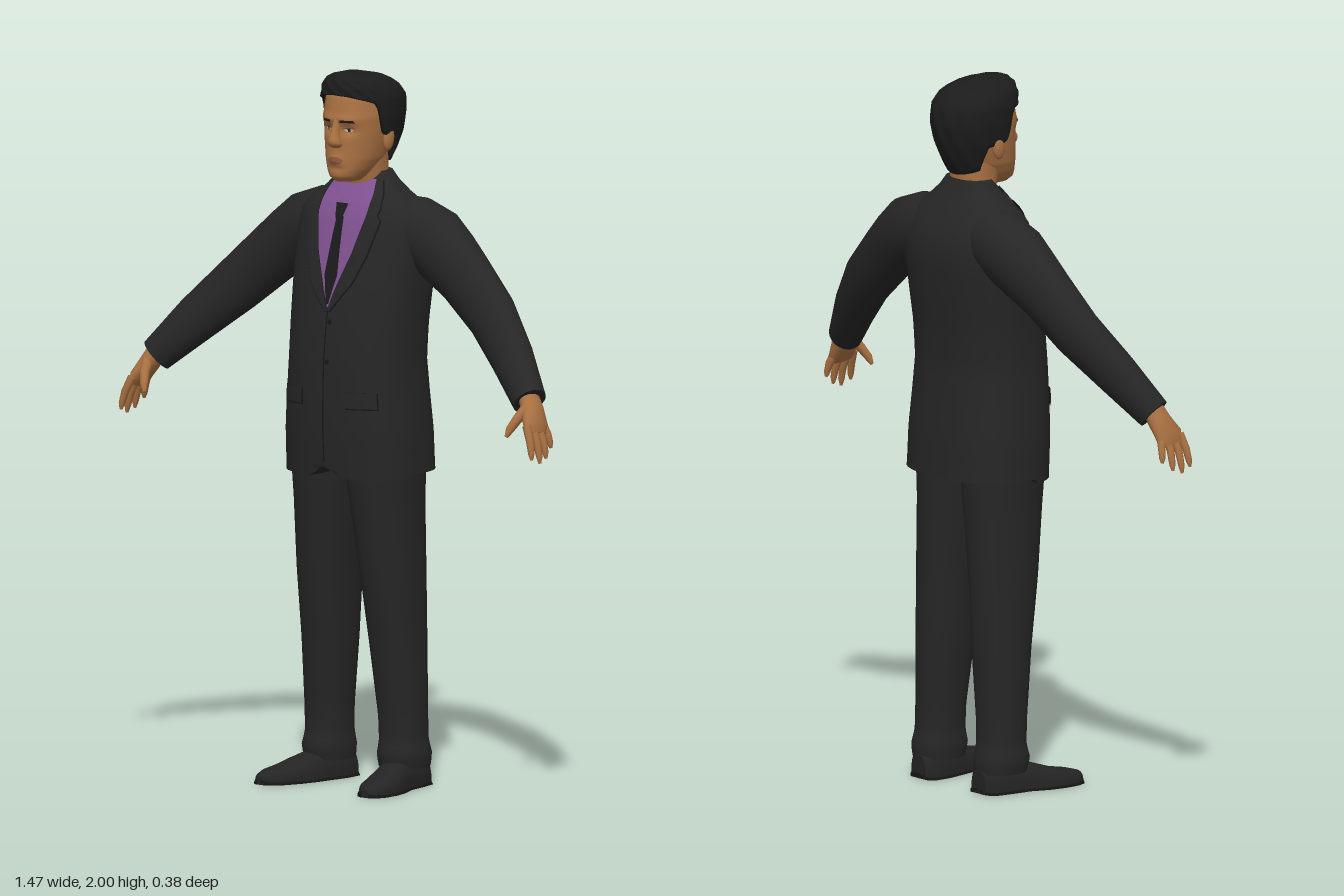
import * as THREE from 'three';

const mat = (name, color, side = THREE.FrontSide) => {
  const m = new THREE.MeshStandardMaterial({ color, side });
  m.name = name;
  return m;
};
const D = THREE.DoubleSide;
const SUIT = mat('suit cloth', 0x262626, D), SEAM = mat('seam', 0x151515, D), HAIR = mat('hair', 0x1c1c1c, D);
const SKIN = mat('skin', 0xa97142), LIP = mat('lips', 0x8c543a, D), SHIRT = mat('shirt', 0x805291, D);
const TIE = mat('tie', 0x1b1b1d, D), SHOE = mat('shoe leather', 0x242424), EYE = mat('eye white', 0xc4b2a0, D);

// Linear look-up in a table whose first column is the key
function sample(table, k) {
  if (k <= table[0][0]) return table[0];
  for (let i = 1; i < table.length; i++) {
    const p = table[i - 1], q = table[i];
    if (k <= q[0]) return p.map((v, c) => THREE.MathUtils.lerp(v, q[c], (k - p[0]) / (q[0] - p[0])));
  }
  return table[table.length - 1];
}
const pw = (v, e) => Math.sign(v) * Math.abs(v) ** e;

// Point on a section [y, halfWidth, zBack, zFront, xCentre]; angle 0 faces front
function around([y, a, zb, zf, xc = 0], t, n) {
  return new THREE.Vector3(xc + a * pw(Math.sin(t), 2 / n), y, (zb + zf) / 2 + ((zf - zb) / 2) * pw(Math.cos(t), 2 / n));
}

// Closed skin over rings of points, ends capped, faces turned outward
function loft(name, rings, material) {
  const n = rings[0].length, pts = rings.flat(), idx = [];
  for (let i = 0; i < rings.length - 1; i++)
    for (let j = 0; j < n; j++) {
      const a = i * n + j, b = i * n + ((j + 1) % n);
      idx.push(a, b, a + n, b, b + n, a + n);
    }
  for (const [ring, end] of [[rings[0], false], [rings[rings.length - 1], true]]) {
    const base = pts.length, c = new THREE.Vector3();
    ring.forEach(p => c.addScaledVector(p, 1 / n));
    pts.push(...ring, c);
    for (let j = 0; j < n; j++) {
      const k = (j + 1) % n;
      idx.push(base + n, base + (end ? j : k), base + (end ? k : j));
    }
  }
  let volume = 0;
  for (let i = 0; i < idx.length; i += 3)
    volume += pts[idx[i]].dot(pts[idx[i + 1]].clone().cross(pts[idx[i + 2]]));
  if (volume < 0) idx.reverse();
  const g = new THREE.BufferGeometry().setFromPoints(pts);
  g.setIndex(idx);
  g.computeVertexNormals();
  const m = new THREE.Mesh(g, material);
  m.name = name;
  return m;
}

// Stack of horizontal sections, with an optional rule that moves points
function body(name, table, material, { n = 2.3, seg = 40, step = 0.03, rule } = {}) {
  const rings = [], y0 = table[0][0], y1 = table[table.length - 1][0], rows = Math.ceil((y1 - y0) / step);
  for (let i = 0; i <= rows; i++) {
    const s = sample(table, y0 + ((y1 - y0) * i) / rows);
    rings.push(Array.from({ length: seg }, (_, j) => {
      const p = around(s, (j / seg) * Math.PI * 2, n);
      if (rule) rule(p);
      return p;
    }));
  }
  return loft(name, rings, material);
}

// Limb along points [x, y, z, thickness, width]; s = 1 left, -1 right
function limb(name, path, material, s, seg = 20) {
  const c = path.map(p => new THREE.Vector3(p[0] * s, p[1], p[2]));
  const rings = c.map((p, i) => {
    const t = c[Math.min(i + 1, c.length - 1)].clone().sub(c[Math.max(i - 1, 0)]).normalize();
    const w = new THREE.Vector3(0, 0, 1).addScaledVector(t, -t.z).normalize(), u = t.clone().cross(w);
    return Array.from({ length: seg }, (_, j) => {
      const a = (j / seg) * Math.PI * 2;
      return p.clone().addScaledVector(u, path[i][3] * Math.cos(a)).addScaledVector(w, path[i][4] * Math.sin(a));
    });
  });
  return loft(name, rings, material);
}

// Thin sheet lying on a front surface; rows are [y, xInner, xOuter]
function patch(name, rows, surface, lift, material, s = 1) {
  const g = new THREE.PlaneGeometry(1, 1, 10, 24), p = g.attributes.position;
  const y0 = rows[0][0], y1 = rows[rows.length - 1][0];
  for (let i = 0; i < p.count; i++) {
    const [y, a, b] = sample(rows, y0 + (y1 - y0) * (p.getY(i) + 0.5));
    const x = s * THREE.MathUtils.lerp(a, b, p.getX(i) + 0.5);
    p.setXYZ(i, x, y, surface(x, y) + lift);
  }
  if (s < 0) g.index.array.reverse();
  g.computeVertexNormals();
  const m = new THREE.Mesh(g, material);
  m.name = name;
  return m;
}
const frontOf = (table, n) => (x, y) => {
  const [, a, zb, zf] = sample(table, y);
  return (zb + zf) / 2 + ((zf - zb) / 2) * (1 - Math.min(Math.abs(x / a), 0.97) ** n) ** (1 / n);
};

const JACKET = [
  [0.875, 0.213, -0.185, 0.135], [1, 0.211, -0.18, 0.142], [1.1, 0.203, -0.171, 0.142], [1.2, 0.196, -0.163, 0.139],
  [1.3, 0.198, -0.168, 0.128], [1.4, 0.204, -0.179, 0.11], [1.5, 0.21, -0.187, 0.086], [1.56, 0.208, -0.181, 0.07],
  [1.6, 0.2, -0.165, 0.058], [1.635, 0.175, -0.148, 0.042], [1.67, 0.12, -0.126, 0.02], [1.7, 0.088, -0.11, 0], [1.72, 0.074, -0.102, -0.012]];
const HEAD = [
  [1.697, 0.03, -0.02, 0.075], [1.71, 0.046, -0.04, 0.09], [1.73, 0.06, -0.07, 0.092], [1.76, 0.074, -0.095, 0.089],
  [1.8, 0.083, -0.115, 0.087], [1.84, 0.09, -0.135, 0.087], [1.88, 0.094, -0.14, 0.087], [1.93, 0.09, -0.135, 0.077],
  [1.96, 0.08, -0.12, 0.062], [1.98, 0.05, -0.08, 0.045]];
const HAIRSHAPE = [
  [1.73, 0.072, -0.108, 0.06], [1.78, 0.088, -0.137, 0.08], [1.83, 0.102, -0.156, 0.088], [1.88, 0.11, -0.165, 0.09],
  [1.93, 0.11, -0.159, 0.09], [1.96, 0.1, -0.135, 0.09], [1.982, 0.078, -0.095, 0.084], [1.994, 0.05, -0.05, 0.072], [2, 0.02, -0.01, 0.05]];
const HAIRLINE = [[-1, 1.735], [-0.5, 1.75], [-0.25, 1.82], [0.1, 1.82], [0.3, 1.84], [0.45, 1.915], [1, 1.94]];
const TROUSER = [
  [0.055, 0.066, -0.128, 0.02, 0.132], [0.09, 0.071, -0.132, 0.03, 0.133], [0.13, 0.064, -0.122, 0.02, 0.131],
  [0.2, 0.065, -0.12, 0.022, 0.13], [0.4, 0.073, -0.126, 0.045, 0.12], [0.6, 0.08, -0.13, 0.075, 0.112],
  [0.8, 0.091, -0.135, 0.098, 0.099], [0.86, 0.096, -0.138, 0.105, 0.096], [0.98, 0.1, -0.14, 0.11, 0.095]];
const SLEEVE = [
  [0.09, 1.575, -0.075, 0.08, 0.075], [0.15, 1.56, -0.077, 0.095, 0.088], [0.225, 1.53, -0.075, 0.1, 0.085], [0.28, 1.49, -0.07, 0.094, 0.077],
  [0.34, 1.445, -0.062, 0.086, 0.068], [0.45, 1.35, -0.043, 0.079, 0.058], [0.56, 1.247, 0.005, 0.067, 0.053], [0.66, 1.143, 0.055, 0.05, 0.046]];
// Shoe sections along its length: [z, xCentre, halfWidth, height]
const SHOEFORM = [
  [-0.13, 0.128, 0.03, 0.065], [-0.115, 0.129, 0.05, 0.08], [-0.06, 0.133, 0.056, 0.085], [0, 0.142, 0.054, 0.082], [0.05, 0.156, 0.06, 0.066],
  [0.1, 0.168, 0.058, 0.05], [0.15, 0.178, 0.047, 0.042], [0.178, 0.183, 0.031, 0.034], [0.19, 0.185, 0.012, 0.022]];

// Eye sockets, brow ridge and mouth hollows
const sculpt = (x, y) => {
  const bump = (cx, cy, rx, ry) => Math.exp(-(((Math.abs(x) - cx) / rx) ** 2) - ((y - cy) / ry) ** 2);
  return -0.01 * bump(0.035, 1.842, 0.022, 0.014) + 0.005 * bump(0.03, 1.872, 0.035, 0.01)
    + 0.006 * bump(0, 1.758, 0.022, 0.014) - 0.004 * bump(0, 1.735, 0.03, 0.008);
};

function makeShoe(s) {
  const g = new THREE.Group();
  g.name = s > 0 ? 'leftShoe' : 'rightShoe';
  const shape = (name, wide, height, m) => loft(name, SHOEFORM.map(([z, xc, a, h]) =>
    Array.from({ length: 24 }, (_, j) => {
      const t = (j / 24) * Math.PI * 2;
      return new THREE.Vector3(s * (xc + (a + wide) * pw(Math.cos(t), 0.7)), Math.max(0, pw(Math.sin(t), 0.8)) * (height || h), z);
    })), m);
  g.add(shape('upper', 0, 0, SHOE), shape('sole', 0.004, 0.014, SEAM));
  return g;
}

function makeHand(s) {
  const g = new THREE.Group();
  g.name = s > 0 ? 'leftHand' : 'rightHand';
  g.add(limb('palm', [[0.65, 1.165, 0.053, 0.028, 0.03], [0.675, 1.125, 0.062, 0.027, 0.036],
    [0.698, 1.085, 0.077, 0.021, 0.046], [0.708, 1.06, 0.081, 0.012, 0.04]], SKIN, s));
  [0.7, 0.95, 1.05, 0.92].forEach((l, i) => {
    const z = 0.047 + i * 0.023, dz = (i - 1.4) * 0.005;
    g.add(limb('finger', [[0.698, 1.085, z, 0.012, 0.012], [0.698 + 0.02 * l, 1.085 - 0.045 * l, z + dz, 0.011, 0.011],
      [0.698 + 0.029 * l, 1.085 - 0.082 * l, z + dz * 1.5, 0.009, 0.009], [0.698 + 0.031 * l, 1.085 - 0.1 * l, z + dz * 1.7, 0.004, 0.004]], SKIN, s, 10));
  });
  g.add(limb('thumb', [[0.672, 1.13, 0.08, 0.016, 0.018], [0.66, 1.1, 0.108, 0.014, 0.014],
    [0.647, 1.07, 0.127, 0.012, 0.011], [0.64, 1.05, 0.134, 0.005, 0.005]], SKIN, s, 10));
  return g;
}

function makeHead() {
  const g = new THREE.Group();
  g.name = 'head';
  const base = frontOf(HEAD, 2.2), face = (x, y) => base(x, y) + sculpt(x, y);
  g.add(body('face', HEAD, SKIN, { n: 2.2, seg: 64, step: 0.006, rule: p => { if (p.z > 0) p.z += sculpt(p.x, p.y); } }));
  g.add(body('neck', [[1.6, 0.06, -0.1, -0.01], [1.66, 0.066, -0.1, 0.008], [1.72, 0.067, -0.1, 0.022], [1.77, 0.07, -0.1, 0.035]], SKIN));
  g.add(body('nose', [[1.793, 0.012, 0.07, 0.096], [1.8, 0.021, 0.07, 0.109], [1.812, 0.019, 0.07, 0.116],
    [1.835, 0.012, 0.07, 0.105], [1.875, 0.009, 0.07, 0.09]], SKIN, { n: 2, seg: 20, step: 0.008 }));
  g.add(patch('upperLip', [[1.758, -0.026, 0.026], [1.764, -0.02, 0.02], [1.768, -0.008, 0.008]], face, 0.002, LIP));
  g.add(patch('lowerLip', [[1.747, -0.012, 0.012], [1.751, -0.02, 0.02], [1.757, -0.026, 0.026]], face, 0.002, LIP));
  for (const s of [1, -1]) {
    g.add(patch('eye', [[1.839, 0.03, 0.04], [1.844, 0.021, 0.05], [1.848, 0.028, 0.043]], face, 0.001, EYE, s));
    g.add(patch('iris', [[1.839, 0.032, 0.039], [1.848, 0.032, 0.039]], face, 0.002, HAIR, s));
    g.add(patch('eyelid', [[1.847, 0.02, 0.052], [1.85, 0.026, 0.046]], face, 0.002, LIP, s));
    g.add(patch('eyebrow', [[1.865, 0.016, 0.056], [1.872, 0.018, 0.052]], face, 0.002, HAIR, s));
    const ear = new THREE.Mesh(new THREE.SphereGeometry(1, 16, 12), SKIN);
    ear.name = 'ear';
    ear.scale.set(0.012, 0.035, 0.02);
    ear.position.set(s * 0.094, 1.815, -0.03);
    ear.rotation.x = -0.15;
    g.add(ear);
  }
  // Hair cap rising from the hairline to the crown
  const rings = [];
  for (let i = -1; i <= 18; i++)
    rings.push(Array.from({ length: 72 }, (_, j) => {
      const t = (j / 72) * Math.PI * 2, low = sample(HAIRLINE, Math.cos(t))[1];
      const p = around(sample(HAIRSHAPE, THREE.MathUtils.lerp(low, 2, Math.max(i, 0) / 18)), t, 2.1);
      const k = i < 0 ? 0.85 : 1 + 0.012 * Math.sin(t * 13 + i * 0.7);
      p.x *= k;
      p.z = (p.z + 0.035) * k - 0.035;
      return p;
    }));
  g.add(loft('hair', rings, HAIR));
  return g;
}

function makeJacket() {
  const g = new THREE.Group();
  g.name = 'jacket';
  const chest = frontOf(JACKET, 2.5);
  // Hem is cut away at the front opening
  g.add(body('jacketBody', JACKET, SUIT, { n: 2.5, seg: 64, rule: p => {
    if (p.y < 0.9) p.y += p.z > 0 ? 0.045 * Math.max(0, 1 - Math.abs(p.x) / 0.045) : 0.012;
  } }));
  g.add(patch('shirtFront', [[1.35, -0.003, 0.003], [1.5, -0.062, 0.062], [1.6, -0.088, 0.088], [1.66, -0.086, 0.086], [1.7, -0.07, 0.07]], chest, 0.004, SHIRT));
  g.add(body('shirtCollar', [[1.66, 0.088, -0.112, 0.05], [1.71, 0.073, -0.104, 0.026]], SHIRT,
    { step: 0.02, rule: p => { p.y -= 0.03 + (p.z + 0.03) * 0.35; } }));
  g.add(patch('tieBlade', [[1.36, -0.004, 0.004], [1.44, -0.022, 0.022], [1.6, -0.012, 0.012]], chest, 0.009, TIE));
  g.add(patch('tieKnot', [[1.592, -0.011, 0.011], [1.635, -0.021, 0.021]], chest, 0.015, TIE));
  g.add(patch('frontSeam', [[0.92, -0.002, 0.002], [1.34, -0.002, 0.002]], chest, 0.003, SEAM));
  const lapel = [[1.34, 0, 0.008], [1.42, 0.027, 0.072], [1.5, 0.058, 0.106], [1.595, 0.082, 0.128], [1.605, 0.084, 0.108],
    [1.615, 0.085, 0.122], [1.66, 0.083, 0.108], [1.7, 0.07, 0.082]];
  for (const s of [1, -1]) {
    g.add(patch('lapelEdge', lapel.map(([y, a, b]) => [y - 0.002, a, b + 0.003]), chest, 0.006, SEAM, s));
    g.add(patch('lapel', lapel, chest, 0.009, SUIT, s));
    g.add(patch('pocketEdge', [[1.072, 0.075, 0.163], [1.12, 0.075, 0.16]], chest, 0.003, SEAM, s));
    g.add(patch('pocketFlap', [[1.076, 0.077, 0.161], [1.12, 0.077, 0.158]], chest, 0.006, SUIT, s));
    g.add(patch('collarPoint', [[1.605, 0.036, 0.044], [1.63, 0.022, 0.062], [1.655, 0.012, 0.07]], chest, 0.013, SHIRT, s));
    g.add(limb(s > 0 ? 'leftSleeve' : 'rightSleeve', SLEEVE, SUIT, s, 28));
  }
  for (const y of [1.2, 1.31]) g.add(patch('button', [[y - 0.007, 0.008, 0.016], [y, 0.004, 0.02], [y + 0.007, 0.008, 0.016]], chest, 0.004, SEAM));
  return g;
}

export function createModel() {
  const model = new THREE.Group();
  model.name = 'manInSuit';
  model.add(makeHead(), makeJacket());
  for (const s of [1, -1]) {
    const rows = TROUSER.map(([y, a, zb, zf, xc]) => [y, a, zb, zf, xc * s]);
    model.add(body(s > 0 ? 'leftTrouserLeg' : 'rightTrouserLeg', rows, SUIT, { n: 2.2, step: 0.02 }));
    model.add(makeShoe(s), makeHand(s));
  }
  return model;
}
